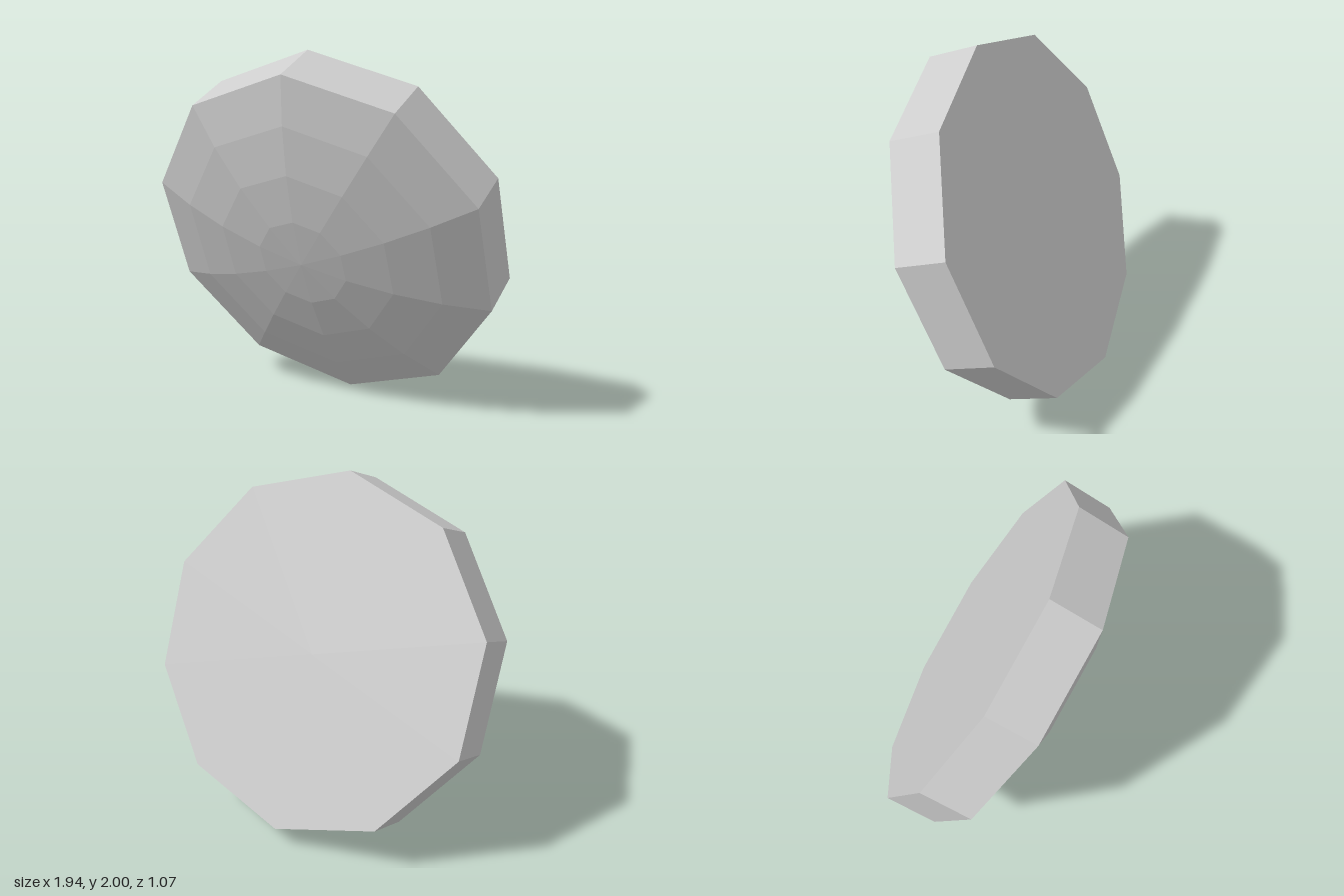
import * as THREE from 'three';

export function createModel() {
  const group = new THREE.Group();
  group.name = 'tiltedDomedDisc';
  const grey = new THREE.MeshStandardMaterial({ color: 0xcccccc, flatShading: true });
  grey.name = 'plain grey';

  const R = 1.02, DEPTH = 0.305, DOME = 0.213, SIDES = 10, RINGS = 4;

  // ten-sided faceted surface turned from a [radius, height] profile
  const disc = new THREE.Group();
  disc.name = 'disc';
  function turned(name, profile) {
    const points = profile.map(([r, y]) => new THREE.Vector2(r, y));
    const geometry = new THREE.LatheGeometry(points, SIDES).toNonIndexed();
    geometry.computeVertexNormals();
    const mesh = new THREE.Mesh(geometry, grey);
    mesh.name = name;
    disc.add(mesh);
  }

  // flat back and straight rim
  turned('backFace', [[0, -DEPTH], [R, -DEPTH]]);
  turned('rim', [[R, -DEPTH], [R, 0]]);

  // shallow spherical front, from the rim in to the apex
  const sphere = (R * R + DOME * DOME) / (2 * DOME);
  const span = Math.asin(R / sphere);
  const dome = [];
  for (let i = RINGS; i >= 0; i--) {
    const a = (span * i) / RINGS;
    dome.push([i ? sphere * Math.sin(a) : 0, DOME - sphere * (1 - Math.cos(a))]);
  }
  turned('frontDome', dome);

  // lean the disc forward so the domed front looks slightly down
  disc.rotation.x = THREE.MathUtils.degToRad(90 + 22.8);
  disc.position.set(0, 0.94, 0.14);
  group.add(disc);
  return group;
}
